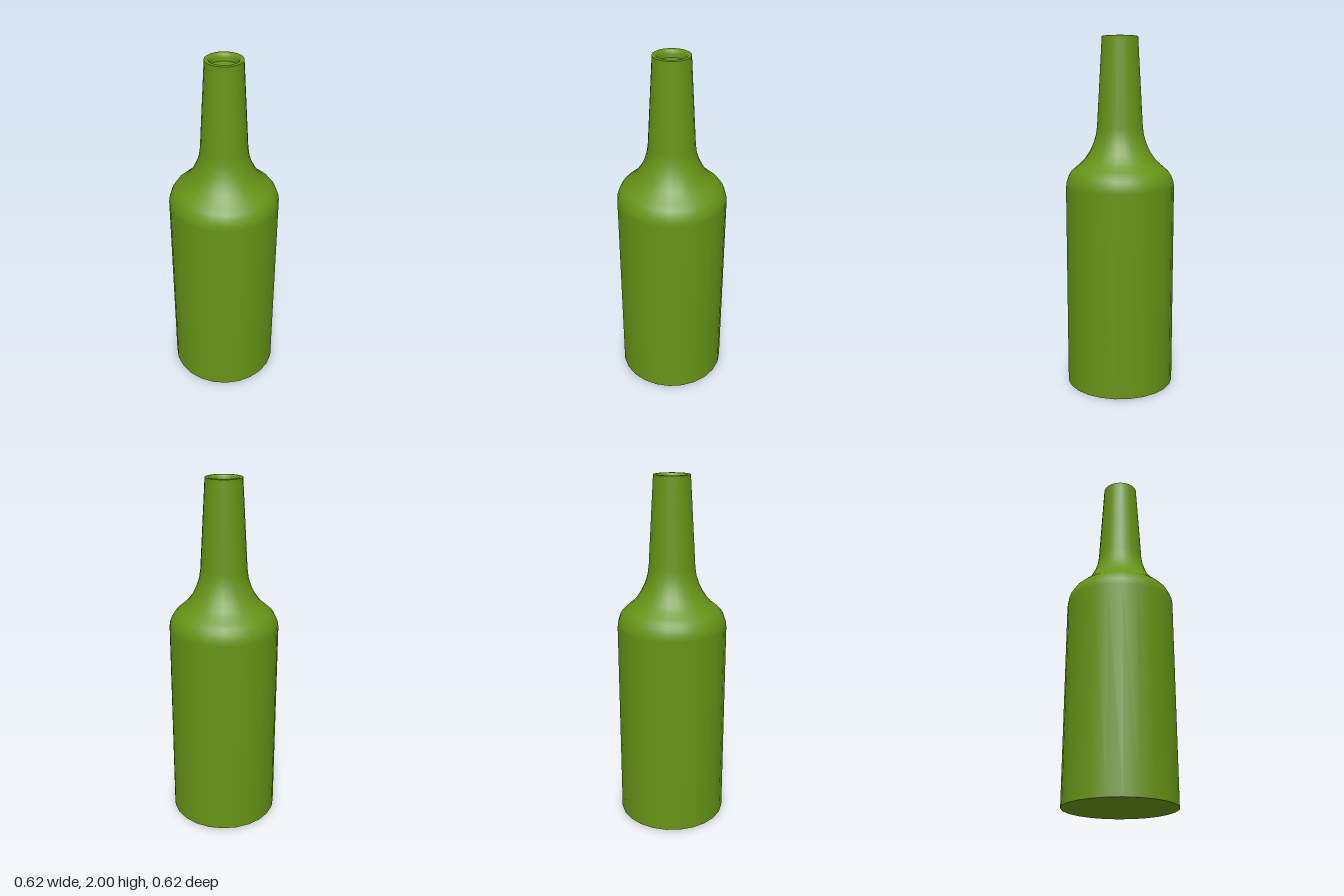
import * as THREE from 'three';

const SEGMENTS = 24;
const glass = new THREE.MeshStandardMaterial({ color: 0x669416 });

// Profiles run from the base upward, so faces point outward.
function turned(name, profile) {
  const points = profile.map(([r, y]) => new THREE.Vector2(r, y));
  const mesh = new THREE.Mesh(new THREE.LatheGeometry(points, SEGMENTS), glass);
  mesh.name = name;
  return mesh;
}

export function createModel() {
  const bottle = new THREE.Group();
  bottle.name = 'bottle';

  // Each part is a separate lathe so that the edges between them stay sharp.
  bottle.add(
    turned('base', [[0, 0], [0.31, 0]]),
    turned('body', [
      [0.31, 0], [0.31, 1.165], [0.306, 1.195], [0.295, 1.225], [0.279, 1.25], [0.255, 1.272],
      [0.226, 1.296], [0.2, 1.323], [0.175, 1.36], [0.153, 1.405], [0.137, 1.455], [0.13, 1.505],
      [0.102, 1.985],
    ]),
    turned('lip', [[0.102, 1.985], [0.102, 1.998]]),
    // Rim rounds over into the mouth
    turned('rim', [[0.102, 1.998], [0.098, 2], [0.085, 2], [0.077, 1.994], [0.072, 1.98], [0.071, 1.96]]),
    turned('mouthFloor', [[0.071, 1.96], [0, 1.96]]),
  );
  return bottle;
}
